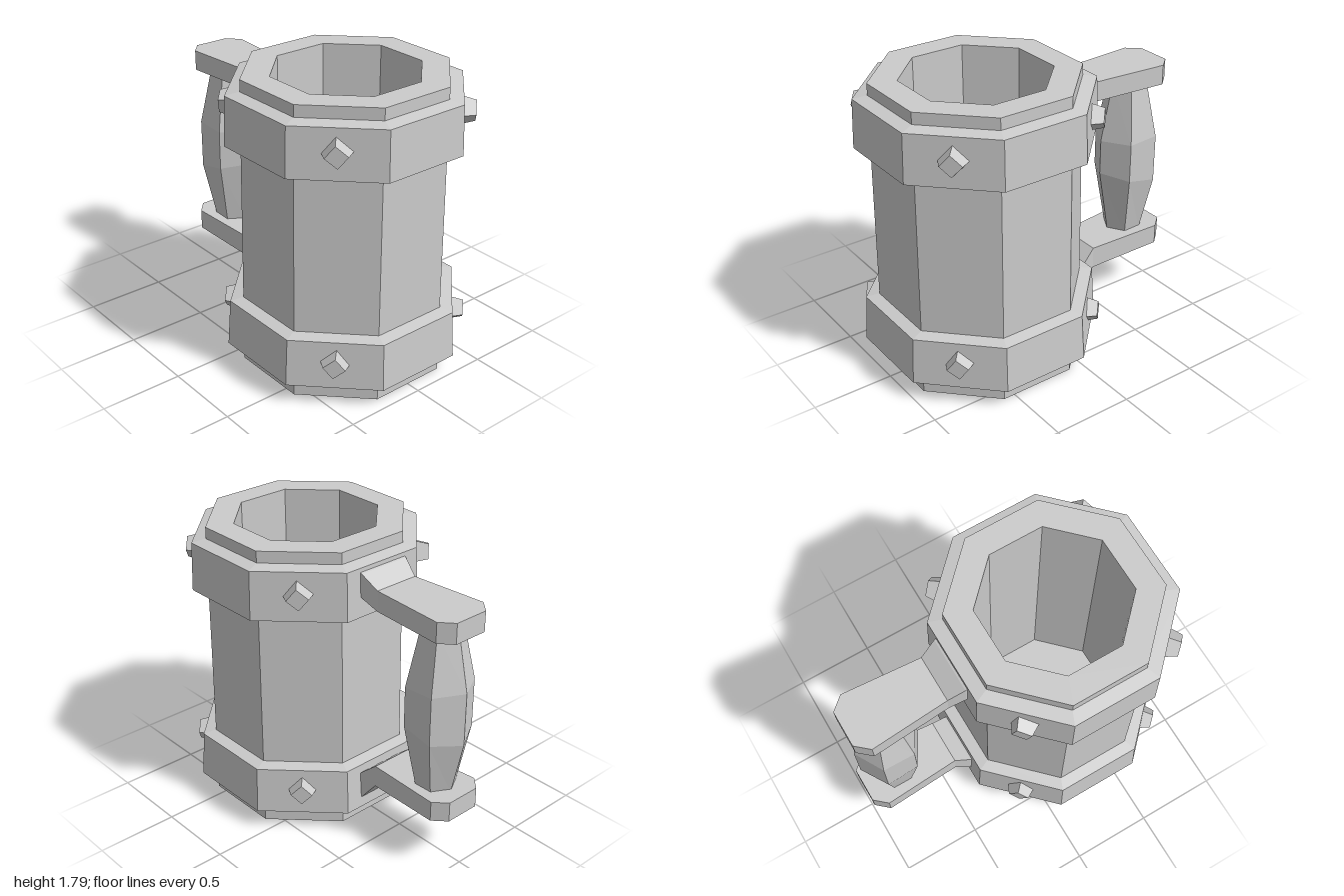
import * as THREE from 'three';

const CZ = 0.3325;                       // centre of the cup along z
const OCT = Math.cos(Math.PI / 8);       // flat distance to corner radius

const material = new THREE.MeshStandardMaterial({ color: 0xcccccc, flatShading: true });

function add(parent, name, geometry) {
  const mesh = new THREE.Mesh(geometry, material);
  mesh.name = name;
  parent.add(mesh);
  return mesh;
}

// Eight-sided turned shape; profile is [flat distance, y] from bottom to top
function octagon(profile) {
  const points = profile.map(([d, y]) => new THREE.Vector2(d / OCT, y));
  return new THREE.LatheGeometry(points, 8, Math.PI / 8).translate(0, 0, CZ);
}

// Beam through rectangular sections [z, half width, bottom y, top y], running to -z
function beam(sections) {
  const position = [], index = [];
  for (const [z, w, y0, y1] of sections) position.push(w, y0, z, w, y1, z, -w, y1, z, -w, y0, z);
  const last = (sections.length - 1) * 4;
  for (let s = 0; s < last; s += 4) {
    for (let i = 0; i < 4; i++) {
      const a = s + i, b = s + (i + 1) % 4;
      index.push(a, a + 4, b, b, a + 4, b + 4);
    }
  }
  index.push(0, 1, 2, 0, 2, 3, last, last + 2, last + 1, last, last + 3, last + 2);
  const geometry = new THREE.BufferGeometry();
  geometry.setAttribute('position', new THREE.Float32BufferAttribute(position, 3));
  geometry.setIndex(index);
  const flat = geometry.toNonIndexed();
  flat.computeVertexNormals();
  return flat;
}

export function createModel() {
  const model = new THREE.Group();
  model.name = 'tankard';

  // Hollow cup
  add(model, 'cup', octagon([
    [0, 0], [0.58, 0], [0.565, 1.79], [0.41, 1.79], [0.41, 0.15], [0, 0.15],
  ]));

  // Bevelled bands
  add(model, 'lowerBand', octagon([
    [0.55, 0.095], [0.58, 0.095], [0.668, 0.125], [0.65, 0.415], [0.575, 0.43], [0.55, 0.43],
  ]));
  add(model, 'upperBand', octagon([
    [0.54, 1.385], [0.57, 1.385], [0.655, 1.41], [0.645, 1.705], [0.565, 1.72], [0.54, 1.72],
  ]));

  // Tapered studs on the diagonal faces, each turned a little differently
  const turns = [[0.05, 0.15], [0.1, -0.1], [0.45, 0.05], [0.1, 0]];
  const studs = new THREE.Group();
  studs.name = 'studs';
  model.add(studs);
  turns.forEach((pair, side) => {
    const angle = Math.PI / 4 - side * Math.PI / 2;
    pair.forEach((turn, level) => {
      const stud = add(studs, 'stud', new THREE.CylinderGeometry(0.064, 0.096, 0.11, 4)
        .rotateY(turn).rotateX(Math.PI / 2));
      stud.rotation.y = angle;
      stud.position.set(0.665 * Math.sin(angle), level ? 0.285 : 1.57, CZ + 0.665 * Math.cos(angle));
    });
  });

  // Handle: two cranked arms and a swollen six-sided grip
  const handle = new THREE.Group();
  handle.name = 'handle';
  model.add(handle);
  add(handle, 'upperArm', beam([
    [-0.29, 0.17, 1.55, 1.69], [-0.325, 0.17, 1.53, 1.675], [-0.425, 0.145, 1.475, 1.6],
    [-0.905, 0.18, 1.475, 1.6], [-0.985, 0.11, 1.475, 1.6],
  ]));
  add(handle, 'lowerArm', beam([
    [-0.29, 0.165, 0.15, 0.33], [-0.335, 0.165, 0.195, 0.375], [-0.43, 0.145, 0.315, 0.455],
    [-0.92, 0.18, 0.345, 0.472], [-1, 0.11, 0.348, 0.475],
  ]));

  // Rings are [radius, y, tilt along z]
  const rings = [[0.12, 0.45, 0], [0.2, 0.843, 0.21], [0.2, 1.122, -0.06], [0.12, 1.49, 0]];
  const grip = new THREE.LatheGeometry(rings.map(([r, y]) => new THREE.Vector2(r, y)), 6);
  const p = grip.attributes.position;
  for (let i = 0; i < p.count; i++) p.setY(i, p.getY(i) + rings[i % rings.length][2] * p.getZ(i));
  add(handle, 'grip', grip.translate(0, 0, -0.783));

  return model;
}
